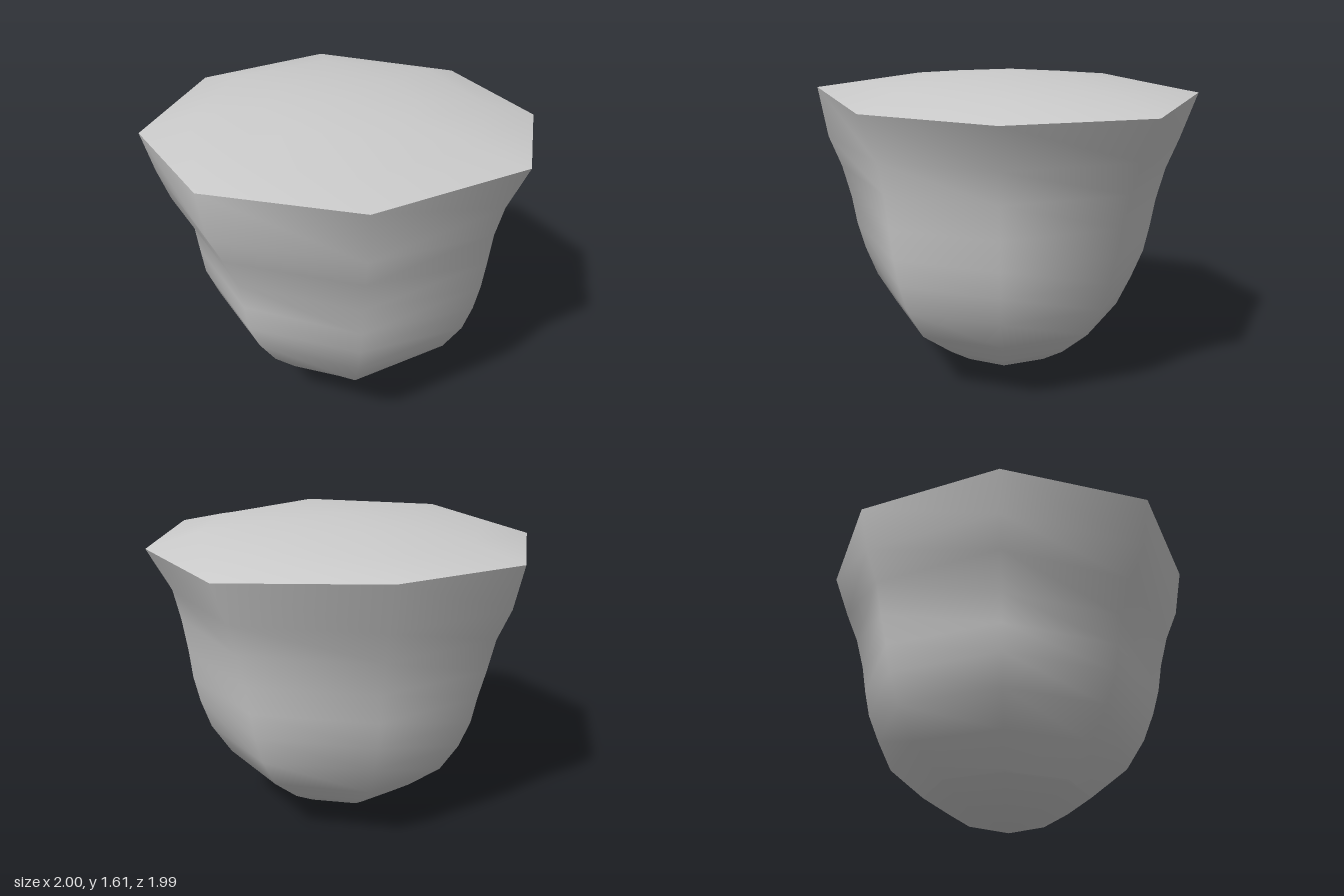
import * as THREE from 'three';
import { mergeVertices } from 'three/addons/utils/BufferGeometryUtils.js';

// Rim corners as [x, y, z], going round from the left side towards the front
const RIM = [
  [1, 1.475, -0.03], [0.8, 1.49, 0.6], [0.02, 1.52, 0.99], [-0.69, 1.51, 0.72],
  [-1, 1.47, -0.01], [-0.7, 1.48, -0.72], [-0.02, 1.5, -1], [0.72, 1.47, -0.72],
];

// Wall rings: height, then the share of the rim radius at each corner
const WALL = [
  [0.09, [0.31, 0.30, 0.30, 0.28, 0.28, 0.30, 0.30, 0.30]],
  [0.18, [0.46, 0.44, 0.43, 0.41, 0.41, 0.43, 0.44, 0.44]],
  [0.33, [0.63, 0.64, 0.62, 0.56, 0.565, 0.61, 0.615, 0.61]],
  [0.49, [0.73, 0.74, 0.72, 0.67, 0.675, 0.71, 0.69, 0.70]],
  [0.64, [0.78, 0.79, 0.78, 0.74, 0.74, 0.77, 0.75, 0.75]],
  [0.78, [0.81, 0.82, 0.82, 0.76, 0.76, 0.80, 0.78, 0.78]],
  [0.93, [0.825, 0.84, 0.845, 0.79, 0.78, 0.84, 0.805, 0.81]],
  [1.10, [0.85, 0.86, 0.89, 0.87, 0.88, 0.88, 0.85, 0.855]],
  [1.26, [0.885, 0.90, 0.955, 0.955, 0.94, 0.95, 0.915, 0.91]],
];

const scaledRing = (y, shares) =>
  RIM.map(([x, , z], i) => [x * (shares[i] ?? shares[0]), y, z * (shares[i] ?? shares[0])]);
const pointRing = (x, y, z) => RIM.map(() => [x, y, z]);

// Smooth skin through rings listed from the bottom or the outside inwards
function loft(name, rings, material) {
  const n = RIM.length;
  const index = [];
  for (let r = 0; r < rings.length - 1; r++) {
    for (let i = 0; i < n; i++) {
      const j = (i + 1) % n;
      const a = r * n + i, b = r * n + j, c = b + n, d = a + n;
      index.push(a, d, c, a, c, b);
    }
  }
  let geometry = new THREE.BufferGeometry();
  geometry.setAttribute('position', new THREE.Float32BufferAttribute(rings.flat(2), 3));
  geometry.setIndex(index);
  geometry = mergeVertices(geometry, 1e-4);
  geometry.computeVertexNormals();
  const mesh = new THREE.Mesh(geometry, material);
  mesh.name = name;
  return mesh;
}

export function createModel() {
  const group = new THREE.Group();
  group.name = 'facetedBowl';
  const material = new THREE.MeshStandardMaterial({ color: 0xcccccc });
  const walls = WALL.map(([y, shares]) => scaledRing(y, shares));

  // Pointed underside, creased where it meets the wall
  group.add(loft('bottomTip', [pointRing(0.02, 0, 0), ...walls.slice(0, 2)], material));

  // Flaring wall with a waist on the front right
  group.add(loft('wall', [...walls.slice(1), RIM], material));

  // Shallow domed lid
  group.add(loft('lid', [
    RIM, scaledRing(1.55, [0.74]), scaledRing(1.585, [0.39]), pointRing(0, 1.61, 0),
  ], material));

  return group;
}
